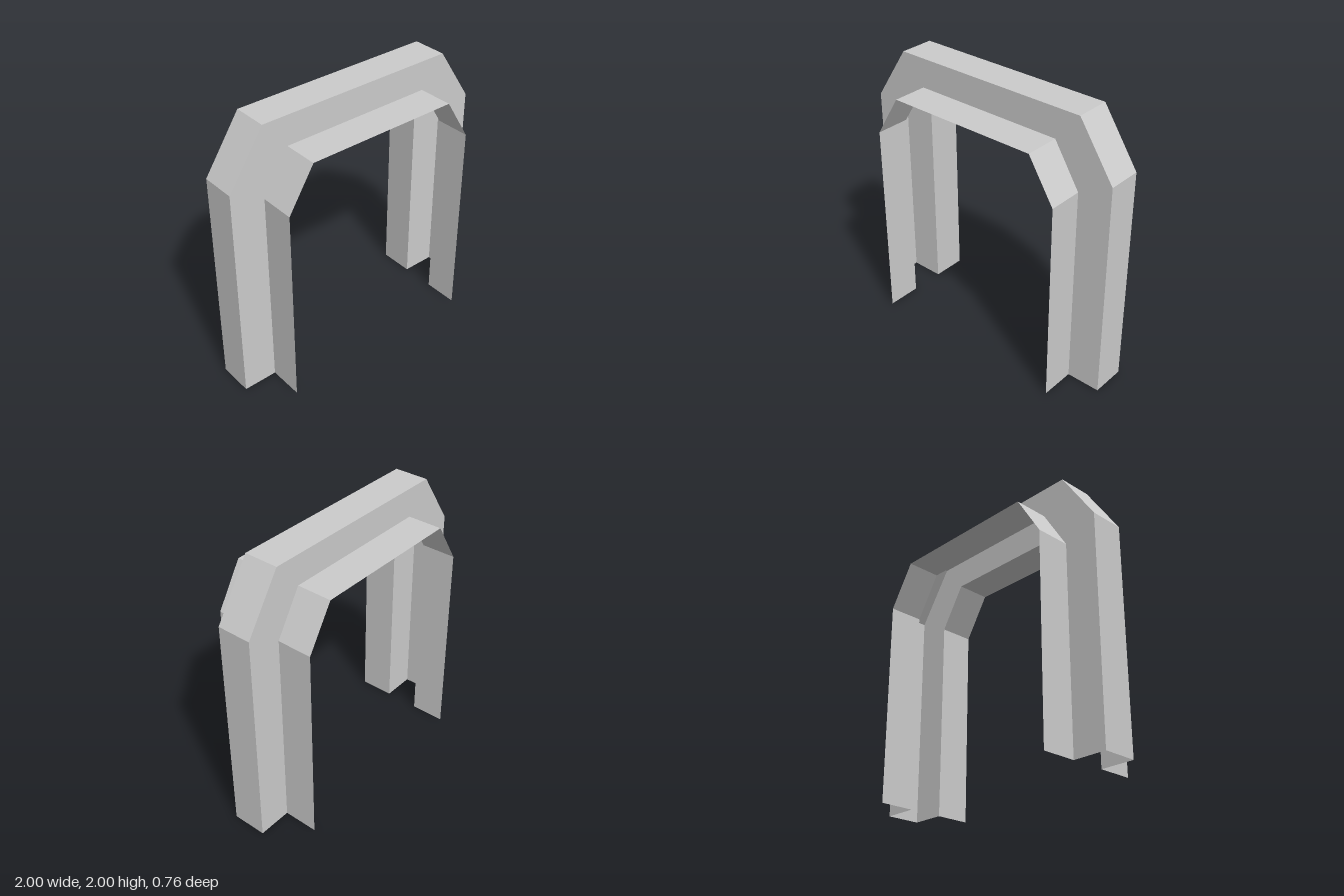
import * as THREE from 'three';

// Mirrors a half profile (foot to crown on the -x side) into a full arch path.
function archPath(half) {
  const mirrored = half.map(([x, y]) => [-x, y]).reverse();
  return [...half, ...mirrored];
}

const OUTER = archPath([[-1, 0], [-1, 1.605], [-0.74, 1.995]]);
const INNER = archPath([[-0.753, 0], [-0.753, 1.478], [-0.563, 1.783]]);
const RIB = 0.125;    // half width of the raised channel
const EDGE = 0.378;   // half width across the flanges

// Sheet running between two arch paths, each at its own depth.
function sheet(name, pathA, zA, pathB, zB, material) {
  const positions = [];
  for (let i = 0; i < pathA.length - 1; i++) {
    const a0 = [...pathA[i], zA], a1 = [...pathA[i + 1], zA];
    const b0 = [...pathB[i], zB], b1 = [...pathB[i + 1], zB];
    positions.push(...a0, ...a1, ...b1, ...a0, ...b1, ...b0);
  }
  const geometry = new THREE.BufferGeometry();
  geometry.setAttribute('position', new THREE.Float32BufferAttribute(positions, 3));
  geometry.computeVertexNormals();
  const mesh = new THREE.Mesh(geometry, material);
  mesh.name = name;
  return mesh;
}

export function createModel() {
  const group = new THREE.Group();
  group.name = 'archChannel';
  const material = new THREE.MeshStandardMaterial({
    color: 0xcccccc, flatShading: true, side: THREE.DoubleSide,
  });

  group.add(
    // Raised outer band
    sheet('outerBand', OUTER, RIB, OUTER, -RIB, material),
    // Upright walls of the channel
    sheet('frontWeb', INNER, RIB, OUTER, RIB, material),
    sheet('backWeb', OUTER, -RIB, INNER, -RIB, material),
    // Flanges along the inner profile
    sheet('frontFlange', INNER, EDGE, INNER, RIB, material),
    sheet('backFlange', INNER, -RIB, INNER, -EDGE, material),
  );
  return group;
}
